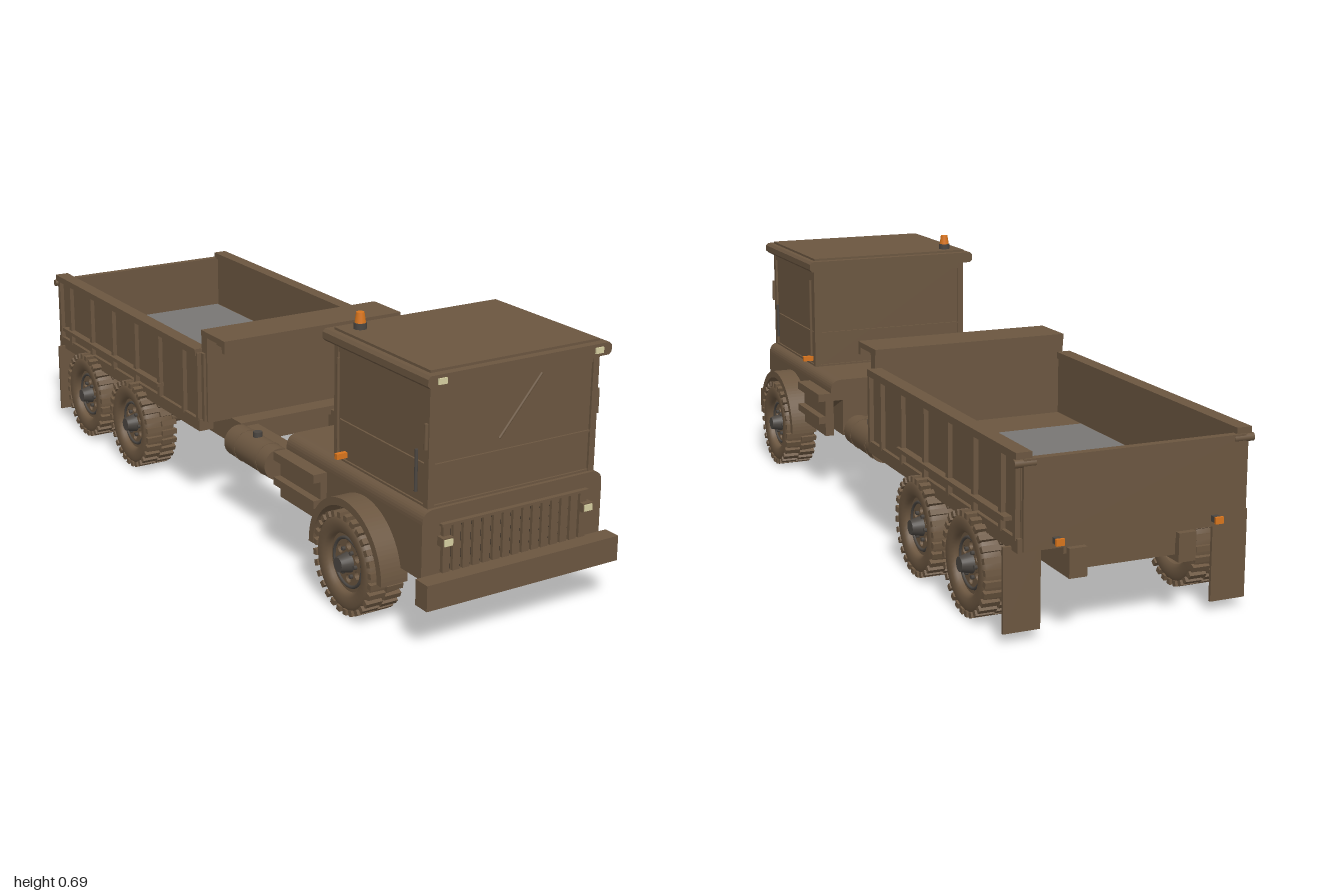
import * as THREE from 'three';

const mat = (name, color, side = THREE.FrontSide) => {
  const m = new THREE.MeshStandardMaterial({ color, side });
  m.name = name;
  return m;
};

export function createModel() {
  const truck = new THREE.Group();
  truck.name = 'dumpTruck';
  const brown = mat('brown paint', 0x6b5640);
  const grey = mat('grey bed plate', 0x787674);
  const dark = mat('dark recess', 0x25211d);
  const steel = mat('dark steel', 0x4b4641);
  const orange = mat('orange lamp', 0xd8741c);
  const cream = mat('cream lamp', 0xd6cfa0);

  const add = (name, geo, m = brown, parent = truck) => {
    const mesh = new THREE.Mesh(geo, m);
    mesh.name = name;
    parent.add(mesh);
    return mesh;
  };
  // Box given by its limits on each axis
  const box = (name, x0, x1, y0, y1, z0, z1, m = brown, parent = truck) => {
    const b = add(name, new THREE.BoxGeometry(Math.abs(x1 - x0), y1 - y0, z1 - z0), m, parent);
    b.position.set((x0 + x1) / 2, (y0 + y1) / 2, (z0 + z1) / 2);
    return b;
  };
  const sides = (fn) => [-1, 1].forEach(fn);
  const pair = (name, x0, x1, y0, y1, z0, z1, m = brown) =>
    sides((s) => box(name, s * x0, s * x1, y0, y1, z0, z1, m));
  const rod = (name, a, b, r, m = brown) => {
    const p = new THREE.Vector3(...a), q = new THREE.Vector3(...b);
    const c = add(name, new THREE.CylinderGeometry(r, r, p.distanceTo(q), 12), m);
    c.position.copy(p).add(q).multiplyScalar(0.5);
    c.quaternion.setFromUnitVectors(new THREE.Vector3(0, 1, 0), q.sub(p).normalize());
    return c;
  };
  // Side profile drawn as (z, y), extruded along x from x0 to x1
  const sideExtrude = (name, shape, x0, x1) => {
    const g = new THREE.ExtrudeGeometry(shape, { depth: x1 - x0, bevelEnabled: false, curveSegments: 24 });
    g.rotateY(-Math.PI / 2);
    g.translate(x1, 0, 0);
    return add(name, g);
  };

  // Chassis rails and cross members
  pair('chassisRail', 0.117, 0.162, 0.145, 0.215, -0.965, 0.95);
  for (let i = 0; i < 7; i++) {
    const z = -0.93 + i * 0.145;
    box('crossMember', -0.12, 0.12, 0.16, 0.205, z - 0.018, z + 0.018);
  }
  [0.17, 0.33].forEach((z) => box('crossMember', -0.12, 0.12, 0.17, 0.2, z - 0.008, z + 0.008));
  box('subframe', -0.17, 0.17, 0.2, 0.225, -0.95, -0.03);

  // Lower cab body: rounded hood deck, core and side panels with wheel arches
  const deck = new THREE.Shape();
  deck.moveTo(-0.257, 0.27);
  deck.lineTo(0.257, 0.27);
  deck.lineTo(0.257, 0.298);
  deck.quadraticCurveTo(0.257, 0.33, 0.225, 0.33);
  deck.lineTo(-0.225, 0.33);
  deck.quadraticCurveTo(-0.257, 0.33, -0.257, 0.298);
  const deckGeo = new THREE.ExtrudeGeometry(deck, { depth: 0.59, bevelEnabled: false, curveSegments: 8 });
  deckGeo.translate(0, 0, 0.36);
  add('bodyDeck', deckGeo);
  box('bodyCore', -0.222, 0.222, 0.165, 0.27, 0.36, 0.95);
  const wheelZ = 0.715, wheelY = 0.13;
  const panel = new THREE.Shape();
  const a0 = Math.asin((0.165 - wheelY) / 0.138);
  panel.moveTo(0.36, 0.165);
  panel.absarc(wheelZ, wheelY, 0.138, Math.PI - a0, a0, true);
  panel.lineTo(0.95, 0.165);
  panel.lineTo(0.95, 0.27);
  panel.lineTo(0.36, 0.27);
  const fender = new THREE.Shape();
  fender.absarc(wheelZ, wheelY, 0.158, 0, Math.PI, false);
  fender.absarc(wheelZ, wheelY, 0.139, Math.PI, 0, true);
  sides((s) => {
    const range = (a, b) => (s > 0 ? [a, b] : [-b, -a]);
    sideExtrude('bodySide', panel, ...range(0.222, 0.257));
    sideExtrude('frontFender', fender, ...range(0.24, 0.312));
  });
  pair('cabStep', 0.25, 0.295, 0.27, 0.292, 0.36, 0.55);
  pair('cabStep', 0.25, 0.295, 0.205, 0.225, 0.36, 0.55);
  pair('stepBack', 0.25, 0.275, 0.168, 0.27, 0.36, 0.55);

  // Bumper, grille and headlamps
  box('bumper', -0.275, 0.275, 0.112, 0.175, 0.955, 1);
  box('bumperMount', -0.2, 0.2, 0.13, 0.17, 0.94, 0.957);
  box('grilleRecess', -0.205, 0.205, 0.175, 0.29, 0.948, 0.952);
  for (let i = 0; i < 15; i++) {
    const x = -0.196 + i * 0.028;
    box('grilleBar', x - 0.01, x + 0.01, 0.175, 0.288, 0.95, 0.96);
    if (i < 14) box('grilleGap', x + 0.012, x + 0.016, 0.178, 0.286, 0.95, 0.953, dark);
  }
  box('grilleTop', -0.21, 0.21, 0.288, 0.294, 0.95, 0.962);
  pair('headlampHousing', 0.186, 0.215, 0.242, 0.264, 0.95, 0.972);
  pair('headlamp', 0.189, 0.212, 0.245, 0.261, 0.97, 0.975, cream);

  // Cab with raised frames around its panels
  box('cab', -0.232, 0.232, 0.325, 0.616, 0.557, 0.936);
  pair('cabPillar', 0.221, 0.238, 0.33, 0.616, 0.925, 0.942);
  pair('cabPillar', 0.221, 0.238, 0.33, 0.616, 0.551, 0.566);
  [[0.598, 0.616], [0.428, 0.432], [0.33, 0.335]].forEach(([y0, y1]) => {
    box('frontFrame', -0.222, 0.222, y0, y1, 0.93, 0.941);
    box('rearFrame', -0.222, 0.222, y0, y1, 0.552, 0.56);
    pair('sideFrame', 0.229, 0.237, y0, y1, 0.56, 0.93);
  });
  rod('wiper', [-0.045, 0.462, 0.942], [0.07, 0.598, 0.942], 0.0035);
  sides((s) => {
    rod('grabRail', [s * 0.242, 0.36, 0.9], [s * 0.242, 0.46, 0.9], 0.004, steel);
    rod('grabRail', [s * 0.242, 0.47, 0.936], [s * 0.242, 0.53, 0.936], 0.005);
    rod('grabRail', [s * 0.242, 0.36, 0.575], [s * 0.242, 0.585, 0.575], 0.004);
    box('sideMarker', s * 0.232, s * 0.261, 0.341, 0.355, 0.59, 0.602, orange);
  });

  // Roof, roof lamps and beacon
  const roof = new THREE.Shape();
  roof.moveTo(-0.25, 0.617);
  roof.lineTo(0.25, 0.617);
  roof.lineTo(0.257, 0.624);
  roof.lineTo(0.257, 0.64);
  roof.lineTo(0.25, 0.647);
  roof.lineTo(-0.25, 0.647);
  roof.lineTo(-0.257, 0.64);
  roof.lineTo(-0.257, 0.624);
  const roofGeo = new THREE.ExtrudeGeometry(roof, { depth: 0.432, bevelEnabled: false });
  roofGeo.translate(0, 0, 0.528);
  add('roof', roofGeo);
  box('roofPanel', -0.237, 0.237, 0.645, 0.653, 0.548, 0.94);
  pair('roofLamp', 0.208, 0.231, 0.625, 0.639, 0.958, 0.964, cream);
  rod('beaconBase', [-0.192, 0.65, 0.59], [-0.192, 0.668, 0.59], 0.016, steel);
  add('beacon', new THREE.CylinderGeometry(0.01, 0.014, 0.027, 16), orange).position.set(-0.192, 0.68, 0.59);

  // Side tanks
  sides((s) => {
    rod('tank', [s * 0.215, 0.207, 0.035], [s * 0.215, 0.207, 0.25], 0.043).geometry =
      new THREE.CylinderGeometry(0.043, 0.043, 0.215, 28);
    rod('tankCap', [s * 0.215, 0.245, 0.14], [s * 0.215, 0.263, 0.14], 0.012, steel);
    [0.085, 0.2].forEach((z) => rod('tankStrap', [s * 0.215, 0.207, z - 0.006], [s * 0.215, 0.207, z + 0.006], 0.045));
  });
  pair('tankBracket', 0.155, 0.2, 0.18, 0.22, 0.06, 0.23);

  // Dump bed
  box('bedFloor', -0.28, 0.28, 0.25, 0.28, -0.96, -0.03);
  box('bedPlate', -0.25, 0.25, 0.28, 0.286, -0.94, -0.215, grey);
  pair('bedSide', 0.262, 0.282, 0.25, 0.44, -0.965, -0.03);
  pair('bedTopRail', 0.258, 0.297, 0.432, 0.45, -0.97, -0.05);
  pair('bedBottomRail', 0.25, 0.292, 0.222, 0.255, -0.97, -0.04);
  [-0.05, -0.135, -0.28, -0.43, -0.58, -0.73, -0.88, -0.955].forEach((z) =>
    pair('bedRib', 0.28, 0.294, 0.25, 0.44, z - 0.007, z + 0.007));
  pair('bedSideBar', 0.28, 0.302, 0.283, 0.293, -0.92, -0.27);
  for (let i = 0; i < 6; i++) {
    const z = -0.88 + i * 0.155;
    box('bedBeam', -0.26, 0.26, 0.222, 0.252, z - 0.018, z + 0.018);
  }
  box('tailgate', -0.28, 0.28, 0.225, 0.435, -0.975, -0.955);
  box('headboard', -0.275, 0.275, 0.25, 0.5, -0.052, -0.022);
  box('canopy', -0.275, 0.275, 0.485, 0.5, -0.055, 0.068);
  box('canopyLip', -0.275, 0.275, 0.465, 0.5, 0.06, 0.075);
  for (let i = 0; i < 7; i++) {
    const x = -0.24 + i * 0.08;
    box('canopyBracket', x - 0.006, x + 0.006, 0.462, 0.486, -0.025, 0.062);
  }
  sides((s) => {
    rod('tailgatePin', [s * 0.25, 0.425, -0.967], [s * 0.302, 0.425, -0.967], 0.01);
    box('tailLampMount', s * 0.193, s * 0.21, 0.238, 0.252, -0.993, -0.97, steel);
    box('tailLamp', s * 0.191, s * 0.212, 0.237, 0.253, -1, -0.993, orange);
    box('mudFlap', s * 0.22, s * 0.312, 0.028, 0.23, -0.94, -0.932);
  });

  // Wheels: tyre of revolution, staggered lugs, pierced rim and hub
  const V = (r, y) => new THREE.Vector2(r, y);
  const tyreGeo = new THREE.LatheGeometry([
    V(0.073, -0.036), V(0.082, -0.044), V(0.104, -0.046), V(0.116, -0.038), V(0.118, 0),
    V(0.116, 0.038), V(0.104, 0.046), V(0.082, 0.044), V(0.073, 0.036), V(0.073, -0.036)], 40);
  const rim = new THREE.Shape();
  rim.absarc(0, 0, 0.074, 0, Math.PI * 2, false);
  for (let i = 0; i < 6; i++) {
    const a = i * Math.PI / 3, h = new THREE.Path();
    h.absarc(Math.cos(a) * 0.042, Math.sin(a) * 0.042, 0.01, 0, Math.PI * 2, true);
    rim.holes.push(h);
  }
  const rimGeo = new THREE.ExtrudeGeometry(rim, { depth: 0.012, bevelEnabled: false, curveSegments: 16 });
  rimGeo.rotateX(-Math.PI / 2);
  const lugGeo = new THREE.BoxGeometry(0.014, 0.045, 0.014);
  const cyl = (name, r0, r1, h, y, m, parent) =>
    add(name, new THREE.CylinderGeometry(r0, r1, h, 24), m, parent).position.set(0, y, 0);
  const makeWheel = (s, z) => {
    const w = new THREE.Group();
    w.name = 'wheel';
    add('tyre', tyreGeo, brown, w);
    add('rim', rimGeo, brown, w).position.y = 0.014;
    cyl('rimRecess', 0.072, 0.072, 0.006, 0.01, dark, w);
    add('rimRing', new THREE.TorusGeometry(0.06, 0.004, 8, 32), steel, w).rotation.x = Math.PI / 2;
    w.children.at(-1).position.y = 0.027;
    cyl('innerDrum', 0.05, 0.05, 0.03, -0.01, brown, w);
    cyl('hub', 0.018, 0.026, 0.034, 0.039, steel, w);
    for (let i = 0; i < 6; i++) {
      const a = (i + 0.5) * Math.PI / 3;
      const nut = add('wheelNut', new THREE.CylinderGeometry(0.005, 0.005, 0.01, 6), steel, w);
      nut.position.set(Math.cos(a) * 0.034, 0.029, Math.sin(a) * 0.034);
    }
    for (let i = 0; i < 56; i++) {
      const a = i * Math.PI / 28;
      const lug = add('tyreLug', lugGeo, brown, w);
      lug.position.set(Math.cos(a) * 0.119, i % 2 ? 0.0235 : -0.0235, Math.sin(a) * 0.119);
      lug.rotation.y = -a;
    }
    w.rotation.z = -s * Math.PI / 2;
    w.position.set(s * 0.273, wheelY, z);
    truck.add(w);
  };
  [wheelZ, -0.43, -0.735].forEach((z) => {
    sides((s) => makeWheel(s, z));
    rod('axle', [-0.26, wheelY, z], [0.26, wheelY, z], 0.018);
  });
  return truck;
}
